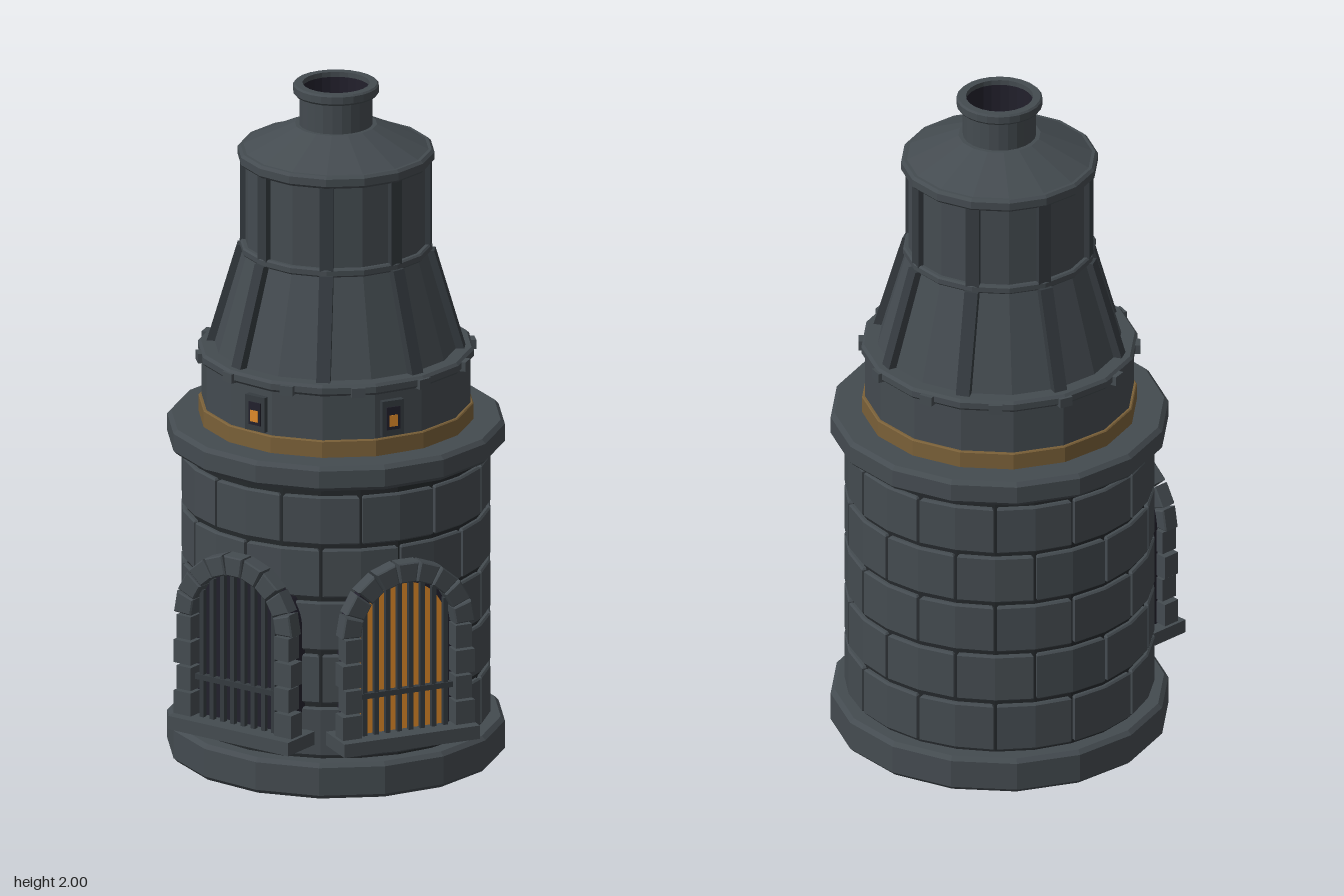
import * as THREE from 'three';

const mat = (name, color, extra = {}) => {
  const m = new THREE.MeshStandardMaterial({ color, flatShading: true, ...extra });
  m.name = name;
  return m;
};

export function createModel() {
  const stone = mat('stone', 0x444b50);
  const mortar = mat('mortar', 0x24282b);
  const iron = mat('iron', 0x353b40);
  const soot = mat('soot', 0x22202c, { side: THREE.DoubleSide });
  const brass = mat('brass', 0x7a6038);
  const glow = mat('glow', 0xe08a2a);

  const root = new THREE.Group();
  root.name = 'furnace';
  const tower = new THREE.Group();
  tower.name = 'tower';
  tower.position.set(0.037, 0, -0.043);
  root.add(tower);

  const add = (parent, name, geometry, material, x = 0, y = 0, z = 0) => {
    const m = new THREE.Mesh(geometry, material);
    m.name = name;
    m.position.set(x, y, z);
    parent.add(m);
    return m;
  };
  const shapeOf = (pts) => new THREE.Shape(pts.map(([x, y]) => new THREE.Vector2(x, y)));
  const lathe = (name, pts, material, sides = 16) =>
    add(tower, name, new THREE.LatheGeometry(pts.map(([x, y]) => new THREE.Vector2(x, y)), sides), material);
  // Solid disc with bevelled rims
  const disc = (name, r, y0, y1, material, b = 0.008, sides = 16) =>
    lathe(name, [[0, y0], [r - b, y0], [r, y0 + b], [r, y1 - b], [r - b, y1], [0, y1]], material, sides);

  // Base, wall core and cornice
  disc('base', 0.485, 0, 0.107, stone, 0.012);
  disc('wallCore', 0.43, 0.1, 0.93, mortar, 0.002, 24);
  disc('cornice', 0.485, 0.925, 1.0, stone, 0.012);

  // Five staggered courses of twelve curved bricks
  const gap = 0.022, step = Math.PI / 6, bevel = 0.005;
  const arc = (r, a) => [r * Math.sin(a), r * Math.cos(a)];
  const brickShape = shapeOf([
    arc(0.4, gap), arc(0.438, gap), arc(0.438, step / 2), arc(0.438, step - gap),
    arc(0.4, step - gap), arc(0.4, step / 2),
  ]);
  const brick = new THREE.ExtrudeGeometry(brickShape, {
    depth: 0.135, bevelEnabled: true, bevelSize: bevel, bevelThickness: bevel, bevelSegments: 1,
  });
  brick.rotateX(-Math.PI / 2);
  for (let row = 0; row < 5; row++) {
    for (let i = 0; i < 12; i++) {
      const b = add(tower, 'brick', brick, stone, 0, 0.121 + row * 0.159, 0);
      b.rotation.y = (i + (row % 2) / 2) * step;
    }
  }

  // Drum, hood and upper stack
  disc('brassBand', 0.395, 0.995, 1.05, brass, 0.003);
  disc('drum', 0.386, 1.04, 1.19, stone, 0.002);
  disc('drumRing', 0.397, 1.183, 1.217, stone);
  lathe('hood', [[0.352, 1.21], [0.266, 1.51]], stone);
  disc('hoodRing', 0.277, 1.502, 1.527, stone, 0.005);
  lathe('stack', [[0.262, 1.52], [0.262, 1.775]], stone);
  disc('capRing', 0.283, 1.77, 1.808, stone);
  lathe('cap', [[0.27, 1.806], [0.118, 1.878], [0, 1.878]], stone);

  // Hollow chimney mouth
  lathe('chimney', [[0.105, 1.87], [0.105, 1.968], [0.118, 1.968], [0.123, 1.974],
    [0.123, 1.995], [0.118, 2], [0.096, 2], [0.096, 1.985]], stone, 24);
  lathe('flue', [[0.096, 1.985], [0.096, 1.9], [0, 1.9]], soot, 24);

  // Eight ribs on the hood and stack
  const ribGeometry = (pts) => {
    const g = new THREE.ExtrudeGeometry(shapeOf(pts), { depth: 0.04, bevelEnabled: false });
    return g.translate(0, 0, -0.02);
  };
  const hoodRib = ribGeometry([[0.33, 1.2], [0.375, 1.2], [0.284, 1.508], [0.25, 1.508]]);
  const stackRib = ribGeometry([[0.25, 1.52], [0.274, 1.52], [0.274, 1.775], [0.25, 1.775]]);
  for (let i = 0; i < 8; i++) {
    add(tower, 'hoodRib', hoodRib, iron).rotation.y = (i * Math.PI) / 4;
    add(tower, 'stackRib', stackRib, iron).rotation.y = (i * Math.PI) / 4;
  }

  // Twelve clips round the drum ring
  for (let i = 0; i < 12; i++) {
    const clip = new THREE.Group();
    clip.name = 'ringClip';
    clip.rotation.y = i * step;
    add(clip, 'clip', new THREE.BoxGeometry(0.04, 0.028, 0.03), stone, 0, 1.196, 0.388);
    tower.add(clip);
  }

  // Arched outline; springing line is at y = 0.5
  const springY = 0.5;
  const archShape = (r, bottom) => {
    const s = new THREE.Shape();
    s.moveTo(-r, bottom);
    s.lineTo(r, bottom);
    s.lineTo(r, springY);
    s.absarc(0, springY, r, 0, Math.PI, false);
    s.closePath();
    return s;
  };
  const block = { depth: 0.042, bevelEnabled: true, bevelSize: 0.004, bevelThickness: 0.004, bevelSegments: 1 };

  const makeDoor = (name, angle, lit) => {
    const door = new THREE.Group();
    door.name = name;
    door.rotation.y = angle;
    tower.add(door);

    add(door, 'sill', new THREE.BoxGeometry(0.425, 0.04, 0.13), stone, 0, 0.175, 0.465);
    add(door, 'niche', new THREE.ExtrudeGeometry(archShape(0.172, 0.19), { depth: 0.1, bevelEnabled: false }),
      soot, 0, 0, 0.358);
    if (lit) add(door, 'fireGlow', new THREE.ShapeGeometry(archShape(0.135, 0.195), 16), glow, 0, 0, 0.462);

    // Jamb stones, alternating in width
    for (const side of [-1, 1]) {
      for (let i = 0; i < 4; i++) {
        const w = i % 2 ? 0.05 : 0.06;
        add(door, 'jambStone', new THREE.BoxGeometry(w, 0.069, 0.052), stone,
          side * (0.147 + w / 2), 0.233 + i * 0.0765, 0.481);
      }
    }
    // Arch stones
    const n = 9, da = Math.PI / n, h = da / 2 - 0.035;
    const wedge = new THREE.ExtrudeGeometry(shapeOf([
      [0.152 * Math.cos(h), -0.152 * Math.sin(h)], [0.204 * Math.cos(h), -0.204 * Math.sin(h)],
      [0.204 * Math.cos(h), 0.204 * Math.sin(h)], [0.152 * Math.cos(h), 0.152 * Math.sin(h)],
    ]), block);
    for (let i = 0; i < n; i++) {
      add(door, 'archStone', wedge, stone, 0, springY, 0.461).rotation.z = (i + 0.5) * da;
    }
    // Iron grate
    for (let i = 0; i < 8; i++) {
      const x = -0.126 + i * 0.036;
      const top = springY + Math.sqrt(0.148 ** 2 - x * x);
      add(door, 'grateBar', new THREE.BoxGeometry(0.014, top - 0.19, 0.014), iron, x, (top + 0.19) / 2, 0.476);
    }
    add(door, 'grateCrossbar', new THREE.BoxGeometry(0.3, 0.016, 0.018), iron, 0, 0.315, 0.477);

    // Peephole on the drum above the door
    add(door, 'peepholeFrame', new THREE.BoxGeometry(0.068, 0.105, 0.03), iron, 0, 1.11, 0.382);
    add(door, 'peepholeRecess', new THREE.BoxGeometry(0.042, 0.068, 0.004), soot, 0, 1.11, 0.398);
    add(door, 'peepholeGlow', new THREE.BoxGeometry(0.026, 0.034, 0.004), glow, 0, 1.103, 0.4);
  };
  makeDoor('frontDoor', -Math.PI / 12, true);
  makeDoor('sideDoor', (-5 * Math.PI) / 12, false);

  return root;
}
